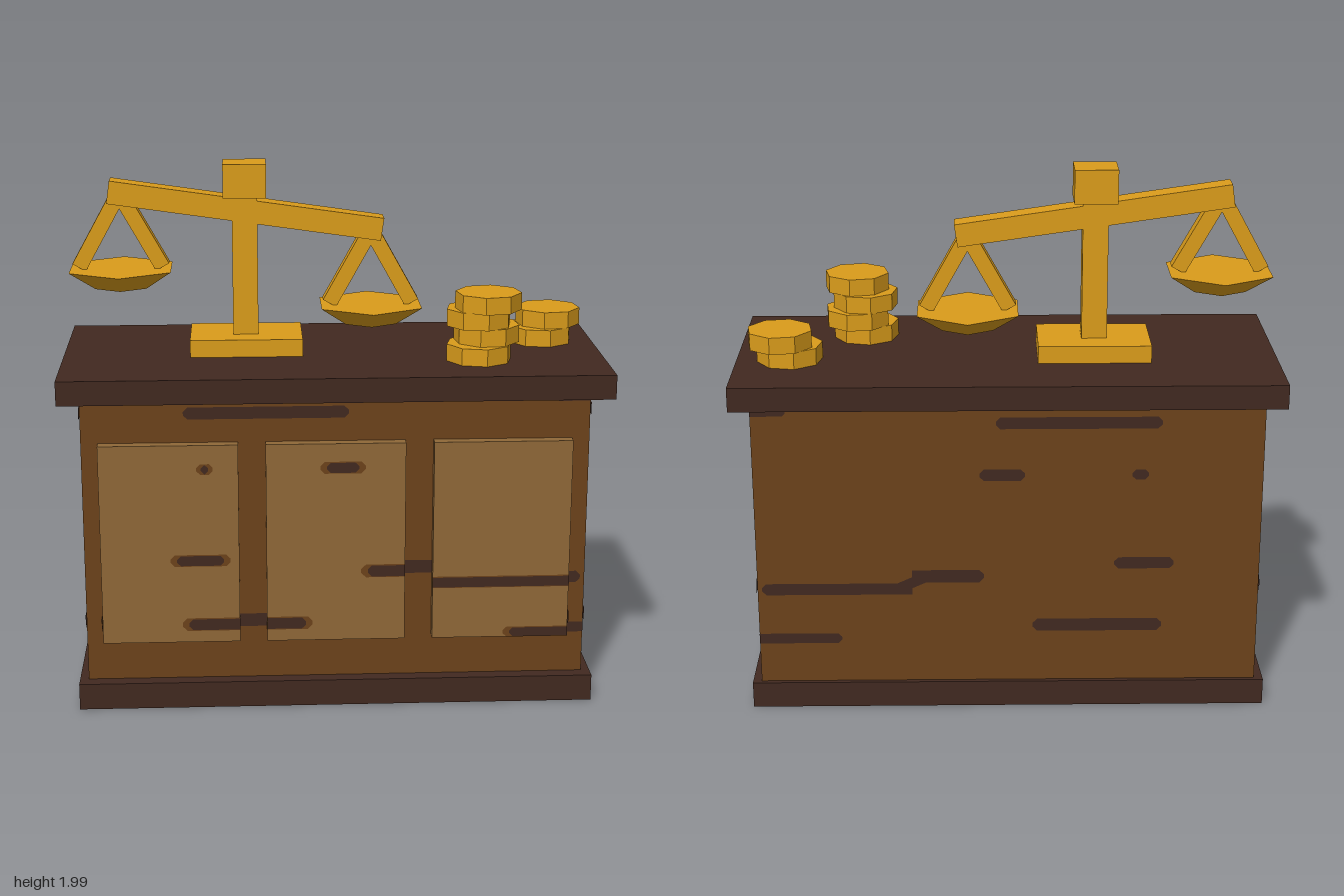
import * as THREE from 'three';

const mat = (name, color, side = THREE.FrontSide) => {
  const m = new THREE.MeshStandardMaterial({ color, side });
  m.name = name;
  return m;
};

export function createModel() {
  const model = new THREE.Group();
  model.name = 'shopCounter';
  const wood = mat('brown wood', 0x6c421b);
  const dark = mat('dark wood', 0x412920, THREE.DoubleSide);
  const tan = mat('pale panel wood', 0x8f6838);
  const gold = mat('gold', 0xda9c1b);
  gold.flatShading = true;

  const add = (parent, name, geo, material, x = 0, y = 0, z = 0) => {
    const m = new THREE.Mesh(geo, material);
    m.name = name;
    m.position.set(x, y, z);
    parent.add(m);
    return m;
  };
  // Box given by its limits on each axis
  const box = (parent, name, material, x0, x1, y0, y1, z0, z1) =>
    add(parent, name, new THREE.BoxGeometry(x1 - x0, y1 - y0, z1 - z0), material,
      (x0 + x1) / 2, (y0 + y1) / 2, (z0 + z1) / 2);
  // Box open at the bottom
  const shell = (...args) => {
    const { geometry } = box(...args);
    const index = [...geometry.index.array];
    index.splice(18, 6);
    geometry.setIndex(index);
    geometry.clearGroups();
  };

  // Counter
  const counter = new THREE.Group();
  counter.name = 'counter';
  model.add(counter);
  shell(counter, 'plinth', dark, -0.96, 0.96, 0, 0.1, -0.413, 0.382);
  box(counter, 'body', wood, -0.927, 0.927, 0.102, 1.19, -0.4, 0.335);
  shell(counter, 'worktop', dark, -1, 1, 1.19, 1.28, -0.44, 0.44);
  const panels = [[-0.865, -0.358], [-0.258, 0.252], [0.355, 0.862]];
  panels.forEach(([a, b]) => box(counter, 'frontPanel', tan, a, b, 0.26, 1.02, 0.335, 0.376));

  // Wood grain: flat strips with chamfered free ends, optionally sloping
  const grain = new THREE.Group();
  grain.name = 'woodGrain';
  model.add(grain);
  const strip = (a, b, h, openA, openB, rise = 0) => {
    const c = Math.min(h * 0.35, (b - a) / 2), ca = openA ? c : 0, cb = openB ? c : 0, k = h / 2;
    return new THREE.ShapeGeometry(new THREE.Shape([
      [a, -k + ca], [a + ca, -k], [b - cb, -k], [b, -k + cb],
      [b, k - cb], [b - cb, k], [a + ca, k], [a, k - ca],
    ].map(([x, y]) => new THREE.Vector2(x, y + rise * (x - a) / (b - a)))));
  };
  // axis 'z': strip runs along x, facing z; axis 'x': strip runs along z, facing x
  const streak = (axis, at, a, b, y, ...shape) => {
    const m = add(grain, 'grainStreak', strip(a, b, ...shape), dark, 0, y, 0);
    m.position[axis] = at;
    if (axis === 'x') m.rotation.y = -Math.PI / 2;
  };

  // Streaks on front and back: x0, x1, y, height, free left end, free right end
  const lengthwise = [
    [-0.555, 0.045, 1.13, 0.045, true, true],
    [-0.51, -0.45, 0.93, 0.04, true, true],
    [-0.06, 0.105, 0.93, 0.045, true, true],
    [-0.61, -0.39, 0.58, 0.045, true, true],
    [-0.57, -0.09, 0.33, 0.05, true, true],
    [0.09, 0.355, 0.53, 0.05, true, false],
    [0.355, 0.91, 0.48, 0.045, false, true],
    [0.62, 0.927, 0.28, 0.04, true, false],
    [0.8, 0.927, 1.175, 0.03, true, false],
  ];
  const cuts = [-0.927, ...panels.flat(), 0.927];
  lengthwise.forEach(([a, b, y, h, openA, openB]) => {
    streak('z', -0.404, a, b, y, h, openA, openB);
    for (let i = 0; i < cuts.length - 1; i++) {
      const s = Math.max(a, cuts[i]), e = Math.min(b, cuts[i + 1]);
      if (e - s < 0.004) continue;
      const endA = openA && s === a, endB = openB && e === b;
      if (i % 2 === 0 || y > 1.02) {
        streak('z', 0.339, s, e, y, h, endA, endB);
        continue;
      }
      // On the pale panels each free end has a brown tip
      const tip = Math.min(0.024, (e - s) * 0.28);
      add(grain, 'grainTip', strip(s, e, h, endA, endB), wood, 0, y, 0.3785);
      streak('z', 0.381, s + (endA ? tip : 0), e - (endB ? tip : 0), y, h * 0.85, endA, endB);
    }
  });
  streak('z', -0.404, 0.3, 0.41, 0.53, 0.045, false, false, -0.05);

  // Streaks on both ends: z0, z1, y, height, free back end, free front end, rise
  const crosswise = [
    [-0.04, 0.335, 1.13, 0.045, true, false],
    [-0.095, 0.05, 0.93, 0.045, true, true],
    [-0.345, -0.095, 0.53, 0.05, true, true],
    [-0.4, -0.335, 0.48, 0.045, false, false, 0.04],
    [0.095, 0.335, 0.33, 0.05, true, false],
  ];
  [[0.931, 0.866], [-0.931, -0.869]].forEach(([x, panelX]) => {
    crosswise.forEach((s) => streak('x', x, ...s));
    streak('x', panelX, 0.335, 0.376, 0.33, 0.05, false, false);
  });

  // Balance scale
  const scale = new THREE.Group();
  scale.name = 'balanceScale';
  model.add(scale);
  box(scale, 'scaleBase', gold, -0.53, -0.113, 1.28, 1.345, -0.177, 0.108);
  box(scale, 'post', gold, -0.37, -0.276, 1.345, 1.87, -0.077, 0.014);
  box(scale, 'postCap', gold, -0.402, -0.243, 1.86, 1.985, -0.107, 0.039);
  add(scale, 'beam', new THREE.BoxGeometry(1.02, 0.085, 0.09), gold, -0.318, 1.809, -0.032)
    .rotation.z = -Math.atan2(0.145, 1.005);

  // Square bar between two points in the xy plane
  const bar = (x0, y0, x1, y1) => {
    const m = add(scale, 'panHanger',
      new THREE.BoxGeometry(0.056, Math.hypot(x1 - x0, y1 - y0), 0.056), gold,
      (x0 + x1) / 2, (y0 + y1) / 2, -0.032);
    m.rotation.z = -Math.atan2(x1 - x0, y1 - y0);
  };
  [[-0.783, 1.524], [0.145, 1.38]].forEach(([x, y]) => {
    add(scale, 'pan', new THREE.CylinderGeometry(0.215, 0.108, 0.07, 6), gold, x, y + 0.035, -0.033);
    [-1, 1].forEach((s) => bar(x + s * 0.154, y + 0.076, x + s * 0.015, y + 0.325));
  });

  // Stacked coins: x, z, level, turn
  const coins = new THREE.Group();
  coins.name = 'coins';
  model.add(coins);
  const coinHeight = 0.0635;
  [
    [0.533, 0.178, 0, 0.15], [0.564, 0.142, 1, 0.5], [0.533, 0.155, 2, 0.2], [0.565, 0.178, 3, 0.6],
    [0.802, -0.113, 0, 0.2], [0.834, -0.138, 1, 0.55],
  ].forEach(([x, z, level, turn]) => {
    add(coins, 'coin', new THREE.CylinderGeometry(0.122, 0.122, coinHeight, 8), gold,
      x, 1.28 + coinHeight * (level + 0.5), z).rotation.y = turn;
  });

  return model;
}
